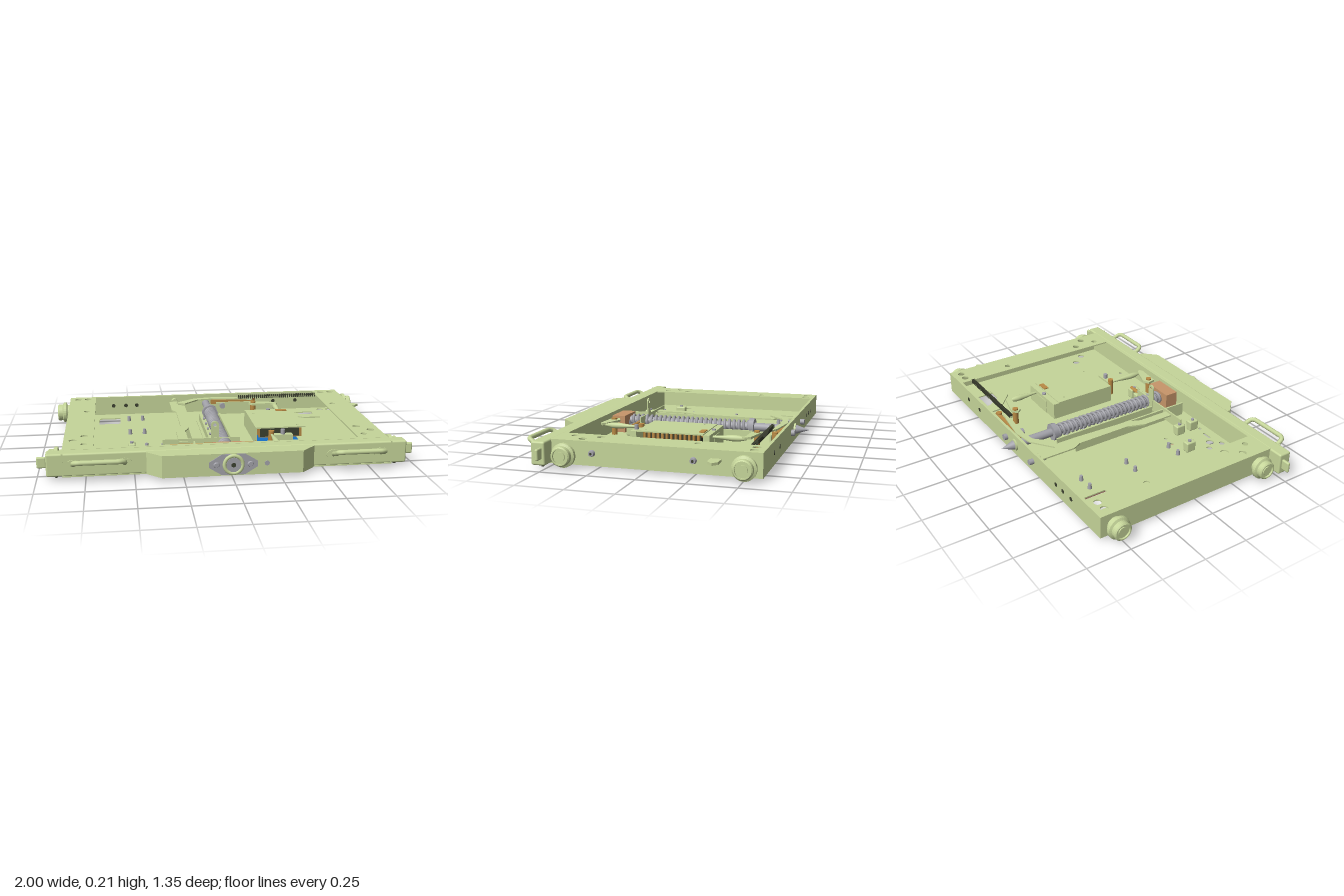
import * as THREE from 'three';
import { RoundedBoxGeometry } from 'three/addons/geometries/RoundedBoxGeometry.js';

const mat = (color) => new THREE.MeshStandardMaterial({ color, side: THREE.DoubleSide });
const green = mat(0xc6d69a), grey = mat(0xa3a3aa), tan = mat(0xc8966a), gold = mat(0xb98a45);
const blue = mat(0x1670c8), red = mat(0xb97f70), dark = mat(0x3c4030);

export function createModel() {
  const model = new THREE.Group();

  const add = (name, geo, m, x = 0, y = 0, z = 0, parent = model) => {
    const mesh = new THREE.Mesh(geo, m);
    mesh.name = name;
    mesh.position.set(x, y, z);
    parent.add(mesh);
    return mesh;
  };
  // Box given by its limits
  const box = (name, m, x0, x1, y0, y1, z0, z1) =>
    add(name, new THREE.BoxGeometry(x1 - x0, y1 - y0, z1 - z0), m, (x0 + x1) / 2, (y0 + y1) / 2, (z0 + z1) / 2);
  const cyl = (name, m, r0, r1, len, x, y, z, axis = 'y', seg = 24) => {
    const g = new THREE.CylinderGeometry(r1, r0, len, seg);
    if (axis === 'x') g.rotateZ(-Math.PI / 2);
    if (axis === 'z') g.rotateX(Math.PI / 2);
    return add(name, g, m, x, y, z);
  };
  // Horizontal sheet from an outline of [x, z] points, with holes
  const sheet = (name, m, pts, y0, y1, holes = []) => {
    const shape = new THREE.Shape(pts.map(([x, z]) => new THREE.Vector2(x, -z)));
    shape.holes = holes;
    const g = new THREE.ExtrudeGeometry(shape, { depth: y1 - y0, bevelEnabled: false, curveSegments: 10 });
    g.rotateX(-Math.PI / 2);
    return add(name, g, m, 0, y0, 0);
  };
  const rect = (x0, x1, z0, z1) => [[x0, z0], [x1, z0], [x1, z1], [x0, z1]];
  const holePath = (pts) => new THREE.Path(pts.map(([x, z]) => new THREE.Vector2(x, -z)));
  const round = (x, z, r) => new THREE.Path().absarc(x, -z, r, 0, Math.PI * 2, true);
  const tube = (name, m, pts, r, seg = 40) => add(name, new THREE.TubeGeometry(
    new THREE.CatmullRomCurve3(pts.map((p) => new THREE.Vector3(...p)), false, 'catmullrom', 0.15), seg, r, 10), m);

  // Floor sheet with openings
  const cornerHoles = (s) => [[0.82, -0.535], [0.76, -0.535], [0.82, 0.345], [0.76, 0.27]].map(([x, z]) => round(s * x, z, 0.021));
  const floorHoles = [
    holePath(rect(-0.69, -0.56, -0.49, -0.36)), holePath(rect(0.56, 0.69, -0.49, -0.36)),
    holePath(rect(0.22, 0.47, -0.15, 0.18)), holePath(rect(-0.47, -0.41, 0.413, 0.428)),
    ...cornerHoles(1), ...cornerHoles(-1),
    ...[[-0.55, 0.35, 0.016], [-0.505, 0.39, 0.023], [-0.55, 0.44, 0.016], [-0.36, 0.435, 0.01], [-0.32, 0.435, 0.01],
      [0.4, 0.435, 0.011], [0.47, 0.435, 0.011], [-0.4, 0.2, 0.009], [-0.34, 0.2, 0.009], [-0.1, 0.35, 0.01]].map((h) => round(...h)),
  ];
  sheet('floor', green, rect(-0.87, 0.87, -0.59, 0.57), 0.015, 0.022, floorHoles);

  // Folded walls and top flanges
  box('backWall', green, -0.87, 0.87, 0.015, 0.14, -0.59, -0.582);
  box('backFlange', green, -0.71, 0.71, 0.133, 0.14, -0.59, -0.575);
  for (const s of [-1, 1]) {
    const side = s < 0 ? 'right' : 'left';
    const [a, b] = s < 0 ? [-0.87, -0.71] : [0.71, 0.87];
    sheet(side + 'Flange', green, rect(a, b, -0.59, 0.5), 0.133, 0.14,
      [...cornerHoles(s), round(s * 0.76, -0.24, 0.017), round(s * 0.76, 0.415, 0.017)]);
    box(side + 'Wall', green, s * 0.866 - 0.004, s * 0.866 + 0.004, 0.015, 0.14, -0.59, 0.57);

    // Grooved rollers at the corners
    for (const z of [-0.507, 0.415]) {
      const prof = [[0, 0], [0.045, 0], [0.045, 0.02], [0.062, 0.024], [0.062, 0.042], [0.05, 0.048], [0.05, 0.072],
        [0.044, 0.078], [0.038, 0.078], [0.038, 0.068], [0.025, 0.068], [0.025, 0.074], [0, 0.074]];
      const g = new THREE.LatheGeometry(prof.map(([r, h]) => new THREE.Vector2(r, h)), 32);
      // Flat facets between profile points keep the edges crisp
      const crisp = g.toNonIndexed();
      crisp.computeVertexNormals();
      crisp.rotateZ(-s * Math.PI / 2);
      add('roller', crisp, green, s * 0.87, 0.068, z);
    }

    // Carrying handle with oval feet
    const hx = s * 0.68;
    tube('handle', green, [[hx - 0.13, 0.08, 0.565], [hx - 0.13, 0.1, 0.62], [hx - 0.125, 0.113, 0.645], [hx - 0.1, 0.118, 0.658],
      [hx + 0.1, 0.118, 0.658], [hx + 0.125, 0.113, 0.645], [hx + 0.13, 0.1, 0.62], [hx + 0.13, 0.08, 0.565]], 0.013, 64);
    for (const t of [-1, 1]) cyl('handleFoot', green, 0.028, 0.028, 0.006, hx + t * 0.13, 0.08, 0.572, 'z').scale.x = 1.4;

    // End latch on the front beam
    add('endLatch', new RoundedBoxGeometry(0.05, 0.06, 0.018, 3, 0.008), green, s * 0.975, 0.082, 0.515);
    cyl('latchPin', grey, 0.007, 0.007, 0.06, s * 0.935, 0.082, 0.535, 'z', 12);
    cyl('latchFoot', dark, 0.008, 0.008, 0.02, s * 0.9, 0.014, 0.53, 'y', 12);
  }

  // Front beam and bumper
  add('frontBeam', new RoundedBoxGeometry(1.9, 0.122, 0.075, 3, 0.01), green, 0, 0.079, 0.532);
  box('frontLip', green, -0.87, 0.87, 0.015, 0.14, 0.478, 0.5);
  sheet('bumper', green, [[-0.44, 0.565], [0.44, 0.565], [0.44, 0.585], [0.365, 0.66], [-0.365, 0.66], [-0.44, 0.585]], 0.02, 0.138);

  // Drive knob with bolted diamond flange
  const diamond = new THREE.Shape();
  diamond.moveTo(-0.125, 0.015);
  for (const [x, y] of [[-0.06, 0.055], [0.06, 0.055], [0.125, 0.015], [0.125, -0.015], [0.06, -0.055], [-0.06, -0.055], [-0.125, -0.015]]) diamond.lineTo(x, y);
  add('knobFlange', new THREE.ExtrudeGeometry(diamond, { depth: 0.007, bevelEnabled: false }), grey, 0, 0.08, 0.659);
  for (const x of [-0.088, 0.088]) cyl('flangeBolt', grey, 0.017, 0.012, 0.01, x, 0.08, 0.669, 'z', 16);
  add('knobRing', new THREE.TorusGeometry(0.047, 0.01, 10, 32), green, 0, 0.08, 0.667);
  cyl('knobFace', grey, 0.04, 0.038, 0.012, 0, 0.08, 0.669, 'z', 32);
  cyl('knobSocket', dark, 0.013, 0.013, 0.003, 0, 0.08, 0.676, 'z', 6);
  cyl('frontScrew', grey, 0.013, 0.013, 0.006, 0.175, 0.08, 0.662, 'z', 16);

  // Lead screw: rod, tip, spring and end blocks
  cyl('screwRod', grey, 0.024, 0.024, 1.0, 0, 0.08, -0.1, 'z');
  cyl('screwTip', grey, 0.0, 0.026, 0.075, 0, 0.08, -0.6375, 'z').rotation.y = 0;
  model.children.at(-1).geometry.rotateY(0).scale(1, 1, 1);
  model.children.at(-1).name = 'screwTip';
  cyl('tipCollar', green, 0.034, 0.034, 0.02, 0, 0.08, -0.59, 'z');
  cyl('rodCollar', grey, 0.05, 0.05, 0.03, 0, 0.08, -0.345, 'z', 8);
  const coil = [];
  for (let i = 0; i <= 26 * 10; i++) {
    const a = i / 10 * Math.PI * 2;
    coil.push(new THREE.Vector3(0.031 * Math.cos(a), 0.08 + 0.031 * Math.sin(a), -0.33 + 0.73 * i / 260));
  }
  add('spring', new THREE.TubeGeometry(new THREE.CatmullRomCurve3(coil), 520, 0.009, 6), grey);
  box('nutBlock', tan, -0.075, 0.1, 0.022, 0.12, 0.4, 0.478);
  for (const s of [-1, 1]) {
    box('guideRail', green, s * 0.062 - 0.005, s * 0.062 + 0.005, 0.022, 0.07, -0.36, 0.3);
    box('guideRailFoot', green, s * 0.072 - 0.012, s * 0.072 + 0.012, 0.022, 0.028, -0.36, 0.3);
    for (let i = 0; i < 6; i++) cyl('railScrew', grey, 0.008, 0.008, 0.012, s * 0.045, 0.06, -0.28 + i * 0.11, 'x', 10);
  }

  // Release arm along the right of the screw and its arched link
  sheet('releaseArm', green, [[-0.24, -0.55], [-0.19, -0.55], [-0.19, -0.47], [-0.15, -0.44], [-0.15, -0.3], [-0.17, 0.05],
    [-0.2, 0.12], [-0.2, 0.32], [-0.25, 0.32], [-0.25, 0.12], [-0.215, 0.02], [-0.215, -0.3], [-0.24, -0.35]], 0.095, 0.103);
  box('armRail', green, -0.172, -0.162, 0.022, 0.1, -0.3, 0.45);
  sheet('archedLink', green, [[-0.2, -0.45], [-0.08, -0.54], [0.04, -0.56], [0.22, -0.535], [0.3, -0.5], [0.29, -0.485],
    [0.2, -0.51], [0.04, -0.525], [-0.06, -0.51], [-0.15, -0.42]], 0.115, 0.123);
  cyl('armPivot', grey, 0.016, 0.016, 0.1, -0.205, 0.085, -0.565, 'z', 16);
  cyl('armBush', green, 0.02, 0.02, 0.04, -0.205, 0.1, -0.57, 'z', 16);

  // Upright tab on a cross plate
  const tab = new THREE.Shape();
  tab.moveTo(-0.022, 0); tab.lineTo(0.022, 0); tab.lineTo(0.022, 0.165);
  tab.absarc(0, 0.165, 0.022, 0, Math.PI, false);
  tab.holes.push(new THREE.Path().absarc(0, 0.165, 0.01, 0, Math.PI * 2, true));
  add('uprightTab', new THREE.ExtrudeGeometry(tab, { depth: 0.008, bevelEnabled: false }), green, -0.05, 0.022, 0.3);
  box('crossPlate', green, -0.34, 0.09, 0.045, 0.115, 0.302, 0.31);
  cyl('crossRod', gold, 0.012, 0.012, 0.48, -0.06, 0.08, 0.32, 'x', 12);
  for (const [x, z] of [[-0.335, 0.3], [-0.335, 0.395], [-0.505, 0.24], [0.1, 0.32], [0.165, 0.33]]) {
    add('clampBlock', new RoundedBoxGeometry(0.04, 0.06, 0.06, 2, 0.008), green, x, 0.052, z);
    cyl('clampScrew', grey, 0.01, 0.01, 0.01, x, 0.086, z, 'y', 12);
  }

  // Covered unit with ribbed core above the bottom plate
  box('bottomPlate', blue, 0.2, 0.49, 0, 0.017, -0.16, 0.19);
  sheet('unitCover', green, rect(0.2, 0.49, -0.19, 0.18), 0.118, 0.125, [round(0.24, -0.13, 0.006), round(0.45, 0.14, 0.006)]);
  box('coverWall', green, 0.2, 0.207, 0.02, 0.12, -0.19, 0.18);
  box('coverBack', green, 0.2, 0.49, 0.02, 0.12, -0.225, -0.19);
  box('unitCore', dark, 0.23, 0.46, 0.06, 0.115, -0.17, 0.15);
  for (let i = 0; i < 13; i++) box('coreRib', gold, 0.225, 0.475, 0.055, 0.117, -0.165 + i * 0.025, -0.152 + i * 0.025);
  for (const [x, z] of [[0.345, -0.21], [0.345, 0.235]]) {
    box('unitMount', green, x - 0.055, x + 0.055, 0.022, 0.1, z - 0.018, z + 0.018);
    cyl('mountScrew', grey, 0.012, 0.012, 0.03, x, 0.113, z, 'y', 12);
  }

  // Linkages: bell crank plates with tapered spindles
  const spindle = (x, z0, z1) => {
    const prof = [[0, 0], [0.005, 0.01], [0.008, 0.3], [0.017, 0.65], [0.017, 0.8], [0.006, 1], [0, 1]];
    const g = new THREE.LatheGeometry(prof.map(([r, t]) => new THREE.Vector2(r, t * Math.abs(z1 - z0))), 14);
    g.rotateX(z1 > z0 ? Math.PI / 2 : -Math.PI / 2);
    add('spindle', g, green, x, 0.1, z0);
  };
  spindle(0.42, -0.18, -0.41);
  spindle(0.28, 0.21, 0.45);
  sheet('backCrank', green, [[0.26, -0.43], [0.29, -0.46], [0.42, -0.43], [0.44, -0.4], [0.43, -0.385], [0.4, -0.4], [0.28, -0.405]], 0.1, 0.112);
  sheet('frontCrank', green, [[0.13, 0.42], [0.17, 0.4], [0.28, 0.44], [0.3, 0.46], [0.28, 0.475], [0.14, 0.465]], 0.1, 0.112);
  for (const [x, z] of [[0.29, -0.435], [0.165, 0.44], [0.3, -0.535], [0.28, 0.23]]) cyl('crankPivot', gold, 0.017, 0.017, 0.1, x, 0.07, z, 'y', 16);
  box('linkBar', gold, 0.03, 0.32, 0.085, 0.11, -0.55, -0.53);
  box('linkBracket', green, 0.06, 0.3, 0.022, 0.1, -0.515, -0.505);
  for (const z of [-0.595, -0.5]) cyl('linkPin', grey, 0.018, 0.018, 0.03, 0.1, 0.08, z, 'z', 16);
  box('connector', gold, 0.385, 0.45, 0.1, 0.13, -0.185, -0.155);

  // Toothed strip and corner gusset
  box('stripCarrier', green, 0.2, 0.72, 0.122, 0.13, -0.512, -0.5);
  for (let i = 0; i < 40; i++) box('stripTooth', dark, 0.205 + i * 0.0129, 0.212 + i * 0.0129, 0.122, 0.143, -0.514, -0.496);
  sheet('cornerGusset', green, [[0.47, -0.5], [0.53, -0.5], [0.6, -0.4], [0.71, -0.4], [0.71, -0.33], [0.6, -0.33], [0.47, -0.45]], 0.024, 0.032);

  // Underside wear plate
  box('wearPlate', red, -0.55, -0.38, 0, 0.015, -0.57, 0.3);

  // Side pointer, side bolts, floor studs and back wall screws
  sheet('sidePointer', green, [[0.86, -0.39], [0.935, -0.39], [0.965, -0.365], [0.935, -0.335], [0.86, -0.335]], 0.085, 0.098);
  for (const z of [0.275, -0.25]) {
    cyl('sideBolt', grey, 0.018, 0.014, 0.018, 0.878, 0.08, z, 'x', 16);
    cyl('boltSocket', dark, 0.007, 0.007, 0.003, 0.888, 0.08, z, 'x', 6);
  }
  for (const x of [-0.505, -0.42]) for (const z of [-0.42, -0.13, 0.16]) cyl('floorStud', grey, 0.012, 0.009, 0.03, x, 0.037, z, 'y', 14);
  for (const x of [-0.6, -0.52, -0.45, 0.45, 0.6]) cyl('backHole', dark, 0.012, 0.012, 0.012, x, 0.08, -0.586, 'z', 14);
  return model;
}
